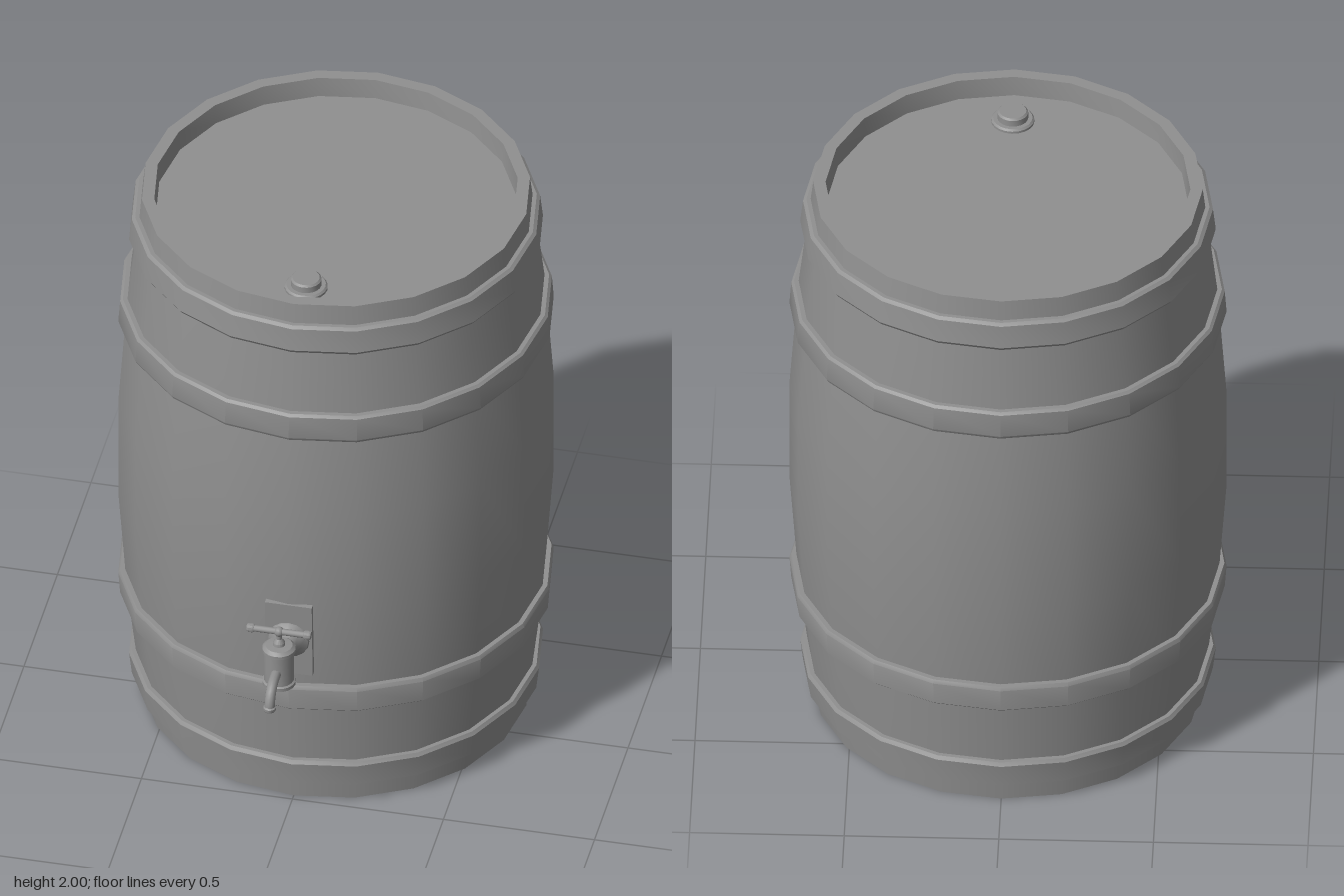
import * as THREE from 'three';
import { toCreasedNormals } from 'three/addons/utils/BufferGeometryUtils.js';

const SIDES = 20;      // barrel facets
const BARREL_Z = -0.15;
const TAP_Z = 0.7;

export function createModel() {
  const model = new THREE.Group();
  model.name = 'barrelWithTap';
  const grey = new THREE.MeshStandardMaterial({ color: 0x909090 });
  grey.name = 'grey';

  const add = (name, geometry, parent, x = 0, y = 0, z = 0) => {
    const mesh = new THREE.Mesh(geometry, grey);
    mesh.name = name;
    mesh.position.set(x, y, z);
    parent.add(mesh);
    return mesh;
  };
  // Turned part: [radius, y] pairs from bottom to top, smooth around, sharp at steps
  const turned = (points, sides) => toCreasedNormals(
    new THREE.LatheGeometry(points.map(([r, y]) => new THREE.Vector2(r, y)), sides), 0.6);

  const barrel = new THREE.Group();
  barrel.name = 'barrel';
  barrel.position.z = BARREL_Z;
  model.add(barrel);

  // Bulging body with a recessed head at each end
  add('barrelBody', turned([
    [0, 0.07], [0.585, 0.07], [0.59, 0], [0.63, 0], [0.677, 0.4], [0.706, 0.8],
    [0.706, 1.2], [0.677, 1.6], [0.63, 2], [0.59, 2], [0.585, 1.93], [0, 1.93],
  ], SIDES), barrel);

  // Hoops, mirrored about the middle
  const endHoop = [[0.63, 1.83], [0.664, 1.83], [0.672, 1.842], [0.663, 1.922], [0.652, 1.93], [0.62, 1.93]];
  const middleHoop = [[0.66, 1.5], [0.7, 1.5], [0.707, 1.512], [0.701, 1.592], [0.692, 1.6], [0.66, 1.6]];
  for (const [name, profile] of [['EndHoop', endHoop], ['MiddleHoop', middleHoop]]) {
    add('upper' + name, turned(profile, SIDES), barrel);
    add('lower' + name, turned(profile.map(([r, y]) => [r, 2 - y]).reverse(), SIDES), barrel);
  }

  // Bung in the top head
  add('bung', turned([
    [0.07, 1.92], [0.07, 1.938], [0.064, 1.944], [0.05, 1.944], [0.05, 1.966], [0.044, 1.972], [0, 1.972],
  ], 20), model, 0, 0, 0.295);

  const tap = new THREE.Group();
  tap.name = 'tap';
  model.add(tap);

  // Mounting plate, leaning with the staves
  const plate = add('tapPlate', new THREE.BoxGeometry(0.155, 0.285, 0.02), tap, 0, 0.693, 0.545);
  plate.rotation.x = 0.05;

  // Flared pipe from the plate to the valve
  const pipe = add('tapPipe', turned([
    [0.07, 0], [0.066, 0.012], [0.046, 0.026], [0.036, 0.045], [0.034, 0.08], [0.036, 0.13],
  ], 16), tap, 0, 0.693, 0.55);
  pipe.rotation.x = Math.PI / 2;

  // Valve body with flanges, and the stem rising from it
  add('valveBody', turned([
    [0, 0.622], [0.046, 0.622], [0.055, 0.626], [0.055, 0.638], [0.049, 0.642], [0.049, 0.752],
    [0.055, 0.756], [0.055, 0.768], [0.044, 0.778], [0.02, 0.78], [0.019, 0.79], [0.009, 0.803],
    [0.009, 0.825], [0, 0.825],
  ], 16), tap, 0, 0, TAP_Z);

  // Cross handle with a knob and rounded ends
  const handle = add('handleBar', new THREE.CylinderGeometry(0.011, 0.011, 0.19, 12), tap, 0, 0.832, TAP_Z);
  handle.rotation.z = Math.PI / 2;
  add('handleKnob', new THREE.SphereGeometry(0.017, 12, 8), tap, 0, 0.831, TAP_Z);
  for (const side of [-1, 1]) {
    const end = add(side > 0 ? 'leftHandleEnd' : 'rightHandleEnd', turned([
      [0, -0.012], [0.013, -0.012], [0.015, -0.006], [0.015, 0.006], [0.012, 0.012], [0, 0.012],
    ], 12), tap, side * 0.094, 0.832, TAP_Z);
    end.rotation.z = Math.PI / 2;
  }

  // Spout curving out and down, with a lip around its mouth
  const path = new THREE.CatmullRomCurve3([
    [0.72, 0.69], [0.765, 0.692], [0.797, 0.688], [0.823, 0.671], [0.837, 0.645], [0.84, 0.62],
  ].map(([z, y]) => new THREE.Vector3(0, y, z)));
  add('spout', new THREE.TubeGeometry(path, 14, 0.017, 12), tap);
  add('spoutLip', turned([
    [0, 0.622], [0.013, 0.622], [0.014, 0.616], [0.019, 0.616], [0.021, 0.621], [0.021, 0.629], [0.016, 0.633],
  ], 12), tap, 0, 0, 0.84);

  return model;
}
